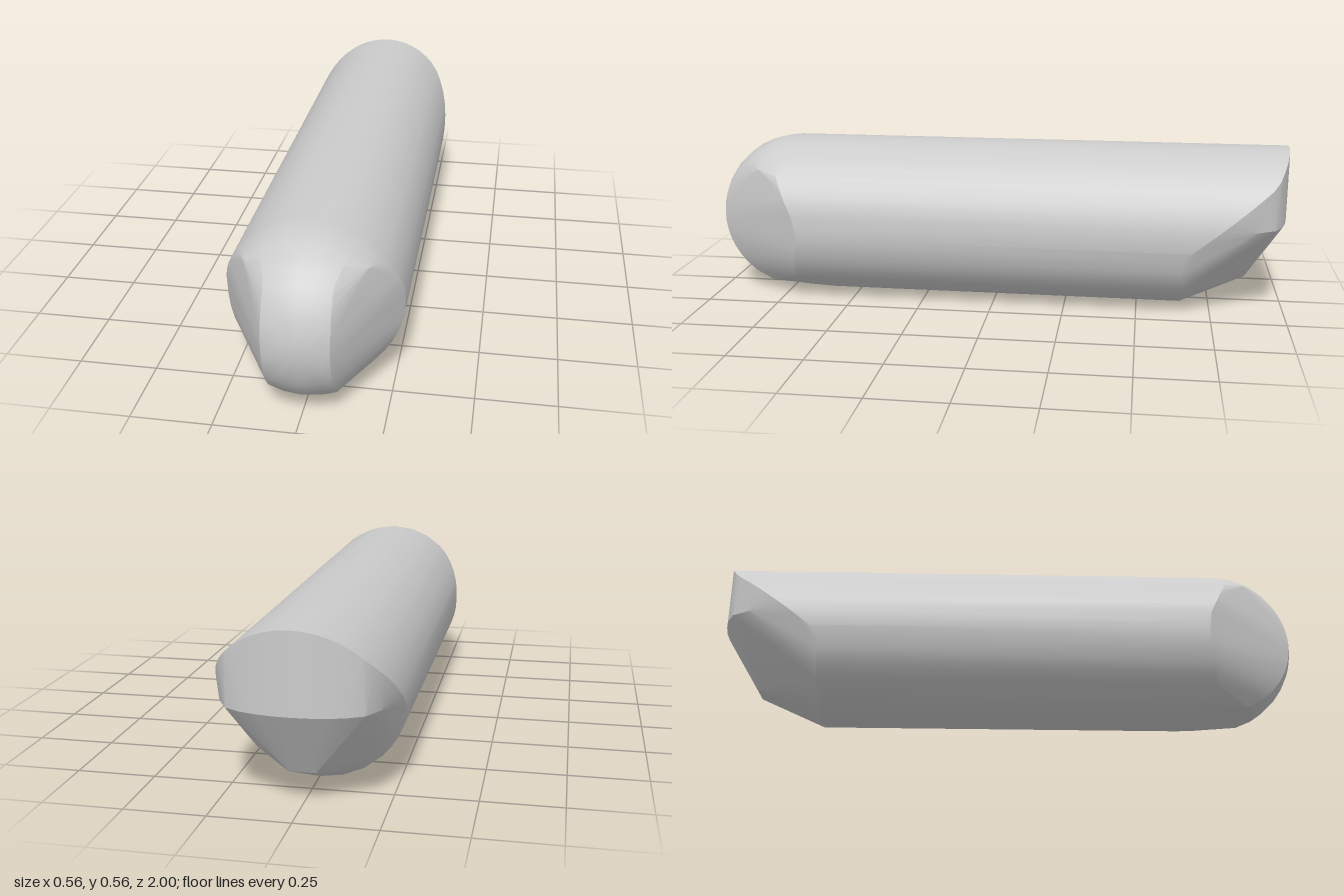
import * as THREE from 'three';
import { ConvexGeometry } from 'three/addons/geometries/ConvexGeometry.js';
import { toCreasedNormals } from 'three/addons/utils/BufferGeometryUtils.js';

const R = 0.2775; // barrel radius, also the height of its axis
const NOSE_Z = 0.7225; // centre of the rounded nose
const STRIP = 0.1; // half width of the rounded strip on the nose
const lerp = THREE.MathUtils.lerp;

// where each line of the barrel ends at the front
function frontEnd(y) {
  if (y < 0.04) return lerp(0.57, 0.67, y / 0.04);
  if (y < R) return 0.66 + (R - y) * 0.18;
  if (y < 0.47) return 0.66 + (y - R) * 0.5;
  return NOSE_Z;
}

// where each line of the barrel ends at the back
function backEnd(y) {
  if (y < 0.22) return -0.65;
  if (y < 0.46) return lerp(-0.65, -0.95, (y - 0.22) / 0.24);
  return lerp(-0.95, -1, (y - 0.46) / 0.095);
}

export function createModel() {
  const group = new THREE.Group();
  const points = [];
  const add = (x, y, z) => points.push(new THREE.Vector3(x, y, z));
  const addPair = (x, y, z) => { add(x, y, z); add(-x, y, z); };

  // round barrel, coarser along the underside
  for (let i = 0; i < 48; i++) {
    const a = (i / 48) * Math.PI * 2;
    const x = R * Math.sin(a), y = R + R * Math.cos(a);
    if (y < 0.1 && i % 2) continue;
    add(x, y, frontEnd(y));
    add(x, y, backEnd(y));
  }

  // domed nose: full width on top, a narrow strip below
  add(0, R, NOSE_Z + R);
  for (let ring = 1; ring < 9; ring++) {
    const t = THREE.MathUtils.degToRad(ring * 10);
    for (let i = 0; i < 24; i++) {
      const a = (i / 24) * Math.PI * 2;
      const x = R * Math.sin(t) * Math.sin(a), y = R + R * Math.sin(t) * Math.cos(a);
      if (y < 0.036 || (Math.abs(x) > STRIP && y < 0.46)) continue;
      add(x, y, NOSE_Z + R * Math.cos(t));
    }
  }

  // straight side edges of the strip and the cut below the nose
  const edgeR = Math.sqrt(R * R - STRIP * STRIP);
  for (let i = 0; i <= 14; i++) {
    const y = lerp(0.036, 0.46, i / 14);
    addPair(STRIP, y, NOSE_Z + Math.sqrt(edgeR ** 2 - (y - R) ** 2));
  }
  add(0, 0.036, NOSE_Z + Math.sqrt(R ** 2 - (R - 0.036) ** 2));

  // upright curved wall at the back
  add(0, 0.31, -1);
  for (const [x, z] of [[0.05, -0.998], [0.1, -0.99], [0.15, -0.977], [0.2, -0.95], [0.235, -0.89]]) {
    addPair(x, 0.31, z);
  }

  // low point where the slopes under the tail meet
  addPair(0.04, 0.1, -0.87);

  const body = new THREE.Mesh(
    toCreasedNormals(new ConvexGeometry(points), 0.3),
    new THREE.MeshStandardMaterial({ color: 0xcccccc })
  );
  body.name = 'body';
  group.add(body);
  return group;
}
